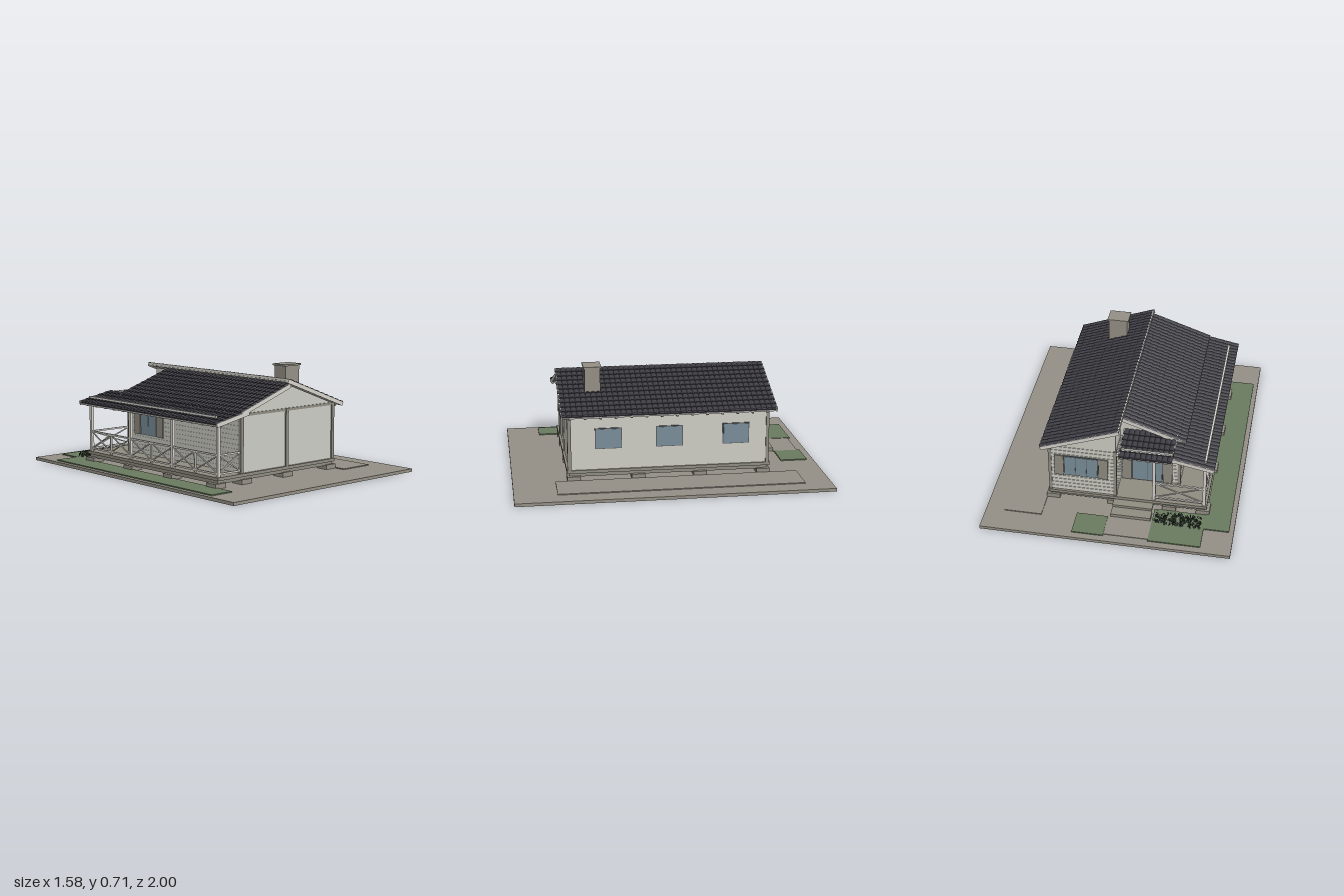
import * as THREE from 'three';

const mat = (name, color, extra = {}) => {
  const m = new THREE.MeshStandardMaterial({ color, ...extra });
  m.name = name;
  return m;
};

export function createModel() {
  const M = {
    stone: mat('stone', 0x969187),
    grass: mat('grass', 0x6b7c60),
    wall: mat('wall', 0xcfcfc7),
    timber: mat('timber', 0x918d82),
    white: mat('white trim', 0xd9d6cf),
    tile: mat('roof tile', 0x3f3e45, { side: THREE.DoubleSide }),
    glass: mat('glass', 0x7b8f9a),
    frame: mat('window frame', 0x5c5f60),
    leaf: mat('leaf', 0x2f3a2f, { side: THREE.DoubleSide }),
  };
  const root = new THREE.Group();
  root.name = 'house';

  // Box given by its minimum and maximum corners
  const box = (name, m, x0, x1, y0, y1, z0, z1, parent = root) => {
    const mesh = new THREE.Mesh(new THREE.BoxGeometry(x1 - x0, y1 - y0, z1 - z0), m);
    mesh.position.set((x0 + x1) / 2, (y0 + y1) / 2, (z0 + z1) / 2);
    mesh.name = name;
    parent.add(mesh);
    return mesh;
  };
  // Straight square bar between two points
  const bar = (name, m, a, b, t) => {
    const A = new THREE.Vector3(...a), B = new THREE.Vector3(...b);
    const mesh = new THREE.Mesh(new THREE.BoxGeometry(t, t, A.distanceTo(B)), m);
    mesh.position.copy(A).add(B).multiplyScalar(0.5);
    mesh.lookAt(B);
    mesh.name = name;
    root.add(mesh);
  };

  // Plot, paths and lawns
  box('plot', M.stone, -0.79, 0.79, 0, 0.02, -1, 1);
  box('sidePath', M.stone, 0.43, 0.67, 0.02, 0.026, -0.83, 0.73);
  box('entrancePath', M.stone, -0.27, 0.01, 0.02, 0.024, -0.94, -0.77);
  box('sideLawn', M.grass, -0.76, -0.6, 0.02, 0.027, -0.79, 0.78);
  box('backLawn', M.grass, -0.6, -0.27, 0.02, 0.027, -0.955, -0.66);
  box('smallLawn', M.grass, 0.01, 0.21, 0.02, 0.027, -0.955, -0.78);

  // Piers, sill beams and deck
  for (const x of [-0.575, -0.36, -0.007, 0.39])
    for (const z of [-0.61, -0.2, 0.2, 0.61])
      box('pier', M.stone, x - 0.043, x + 0.043, 0.02, 0.05, z - 0.043, z + 0.043);
  box('sill', M.timber, -0.59, 0.41, 0.045, 0.068, -0.64, 0.64);
  box('floorDeck', M.timber, -0.6, 0.42, 0.068, 0.088, -0.655, 0.655);
  box('upperStep', M.timber, -0.26, -0.005, 0.05, 0.066, -0.71, -0.65);
  box('lowerStep', M.timber, -0.26, -0.005, 0.02, 0.044, -0.775, -0.7);

  // Wall blocks, the left one shorter to leave the entrance recess
  const walls = (name, pts, z0, z1) => {
    const s = new THREE.Shape(pts.map(p => new THREE.Vector2(...p)));
    const g = new THREE.ExtrudeGeometry(s, { depth: z1 - z0, bevelEnabled: false });
    const mesh = new THREE.Mesh(g, M.wall);
    mesh.position.z = z0;
    mesh.name = name;
    root.add(mesh);
  };
  walls('rightWalls', [[-0.015, 0.085], [0.41, 0.085], [0.41, 0.45], [-0.015, 0.608]], -0.64, 0.64);
  walls('leftWalls', [[-0.4, 0.085], [-0.01, 0.085], [-0.01, 0.59], [-0.4, 0.46]], -0.46, 0.64);

  // Cladding boards on the back, recess and veranda walls
  for (let i = 0; i < 12; i++) {
    const y0 = 0.092 + i * 0.029, y1 = y0 + 0.026;
    box('cladding', M.wall, -0.01, 0.405, y0, y1, -0.643, -0.638);
    box('cladding', M.wall, -0.018, -0.013, y0, y1, -0.64, -0.46);
    box('cladding', M.wall, -0.4, -0.02, y0, y1, -0.463, -0.458);
    box('cladding', M.wall, -0.403, -0.398, y0, y1, -0.46, 0.63);
  }

  // Exposed timber frame
  for (const x of [-0.395, -0.01, 0.408])
    box('framePost', M.timber, x - 0.011, x + 0.011, 0.088, 0.455, 0.625, 0.649);
  box('frameBeam', M.timber, -0.4, 0.415, 0.438, 0.455, 0.63, 0.646);
  for (const [x, z] of [[0.406, -0.637], [-0.012, -0.637], [-0.396, -0.457]])
    box('cornerPost', M.timber, x - 0.01, x + 0.01, 0.088, 0.445, z - 0.01, z + 0.01);

  // Glazed opening facing local +z, with optional shutters
  const opening = (name, x, y, z, yaw, w, h, panes, shutter) => {
    const g = new THREE.Group();
    g.name = name;
    g.position.set(x, y, z);
    g.rotation.y = yaw;
    root.add(g);
    box('frame', M.frame, -w / 2, w / 2, -h / 2, h / 2, -0.006, 0.006, g);
    const pw = (w - 0.008) / panes;
    for (let i = 0; i < panes; i++) {
      const x0 = -w / 2 + 0.004 + i * pw;
      box('pane', M.glass, x0 + 0.002, x0 + pw - 0.002, -h / 2 + 0.005, h / 2 - 0.005, 0.005, 0.009, g);
    }
    if (shutter) for (const s of [-1, 1]) {
      const c = s * (w / 2 + shutter / 2 + 0.002);
      box('shutter', M.timber, c - shutter / 2, c + shutter / 2, -h / 2, h / 2, -0.006, 0.01, g);
    }
    return g;
  };
  for (const z of [0.388, 0, -0.43])
    opening('sideWindow', 0.411, 0.292, z, Math.PI / 2, 0.172, 0.135, 1, 0);
  opening('backWindow', 0.205, 0.295, -0.642, Math.PI, 0.22, 0.155, 3, 0.06);
  opening('entranceDoor', -0.19, 0.235, -0.462, Math.PI, 0.2, 0.29, 2, 0.06);
  opening('verandaWindow', -0.402, 0.295, -0.24, -Math.PI / 2, 0.17, 0.155, 2, 0.06);

  // Roof slope: starts at its upper edge and falls along local +x
  const slope = (name, x, y, z, yaw, run, drop, width) => {
    const L = Math.hypot(run, drop);
    const g = new THREE.Group();
    g.name = name;
    g.position.set(x, y, z);
    g.rotation.set(0, yaw, -Math.atan2(drop, run), 'YXZ');
    root.add(g);
    const rows = Math.max(3, Math.round(L / 0.05)), ribs = Math.round(width / 0.0345);
    const nu = rows * 2 - 1, nv = ribs * 4;
    const geo = new THREE.PlaneGeometry(1, 1, nu, nv).rotateX(-Math.PI / 2);
    const p = geo.attributes.position;
    for (let i = 0; i < p.count; i++) {
      const c = i % (nu + 1), r = Math.floor(i / (nu + 1));
      const u = Math.floor((c + 1) / 2) / rows;
      const wave = 0.007 * Math.abs(Math.sin((r / 4) * Math.PI));
      p.setXYZ(i, u * L, -0.008 + wave + (c % 2) * 0.005, (r / nv - 0.5) * width);
    }
    const flat = geo.toNonIndexed();
    flat.computeVertexNormals();
    const tiles = new THREE.Mesh(flat, M.tile);
    tiles.name = 'tiles';
    g.add(tiles);
    box('underlay', M.tile, 0.002, L - 0.002, -0.018, -0.009, -width / 2 + 0.004, width / 2 - 0.004, g);
    box('soffit', M.white, 0.004, L - 0.01, -0.024, -0.018, -width / 2 + 0.01, width / 2 - 0.01, g);
    for (const s of [-1, 1]) {
      const c = s * (width / 2 - 0.003);
      box('bargeboard', M.white, 0, L, -0.03, -0.004, c - 0.004, c + 0.004, g);
    }
    box('fascia', M.white, L - 0.01, L - 0.003, -0.028, -0.01, -width / 2, width / 2, g);
    return g;
  };
  slope('rightRoof', -0.04, 0.648, 0, 0, 0.5, 0.187, 1.38);
  slope('leftRoof', -0.03, 0.618, 0.09, Math.PI, 0.41, 0.142, 1.2);
  slope('verandaRoof', -0.38, 0.48, 0, Math.PI, 0.262, 0.052, 1.38);
  slope('porchRoof', -0.21, 0.5, -0.465, Math.PI / 2, 0.225, 0.05, 0.34);
  box('ridgeTrim', M.white, -0.044, -0.036, 0.622, 0.645, -0.69, 0.69);

  // Snow guards
  box('sideSnowGuard', M.white, -0.588, -0.574, 0.444, 0.458, -0.65, 0.62);
  box('porchSnowGuard', M.white, -0.375, -0.05, 0.466, 0.476, -0.648, -0.634);

  // Rafters under the eaves
  for (let i = 0; i < 14; i++) {
    const z = -0.63 + i * 0.097;
    bar('rafterTail', M.timber, [0.4, 0.45, z], [0.445, 0.433, z], 0.014);
    bar('verandaRafter', M.white, [-0.4, 0.445, z], [-0.62, 0.402, z], 0.014);
  }

  // Chimney
  box('chimney', M.stone, 0.1, 0.225, 0.5, 0.7, 0.418, 0.518);
  box('chimneyCap', M.stone, 0.09, 0.233, 0.7, 0.711, 0.41, 0.525);

  // Veranda posts and top beams
  const px = -0.58, postZ = [-0.635, -0.212, 0.212, 0.635];
  for (const z of postZ) box('verandaPost', M.white, px - 0.01, px + 0.01, 0.088, 0.415, z - 0.01, z + 0.01);
  box('entrancePost', M.white, -0.27, -0.25, 0.088, 0.44, -0.645, -0.625);
  box('verandaBeam', M.white, px - 0.01, px + 0.01, 0.395, 0.413, -0.66, 0.66);
  box('porchBeam', M.white, -0.58, -0.02, 0.412, 0.43, -0.645, -0.625);

  // Railings: two rails and crossed braces
  const railing = (a, b) => {
    const P = (q, y) => [q[0], y, q[1]];
    bar('topRail', M.white, P(a, 0.22), P(b, 0.22), 0.011);
    bar('bottomRail', M.white, P(a, 0.105), P(b, 0.105), 0.011);
    bar('brace', M.white, P(a, 0.105), P(b, 0.22), 0.007);
    bar('brace', M.white, P(a, 0.22), P(b, 0.105), 0.007);
  };
  for (let i = 0; i < 3; i++) {
    const mid = (postZ[i] + postZ[i + 1]) / 2;
    railing([px, postZ[i]], [px, mid]);
    railing([px, mid], [px, postZ[i + 1]]);
    box('balusterPost', M.white, px - 0.006, px + 0.006, 0.088, 0.22, mid - 0.006, mid + 0.006);
  }
  railing([px, 0.635], [-0.4, 0.635]);
  railing([px, -0.635], [-0.26, -0.635]);

  // Low shrubs beside the steps
  let seed = 7;
  const rnd = () => (seed = (seed * 16807) % 2147483647) / 2147483647;
  const leaf = new THREE.CircleGeometry(0.009, 5);
  const shrubs = new THREE.Group();
  shrubs.name = 'shrubs';
  for (let i = 0; i < 260; i++) {
    const m = new THREE.Mesh(leaf, M.leaf);
    m.name = 'leaf';
    const c = -0.54 + (i % 5) * 0.055;
    m.position.set(c + (rnd() - 0.5) * 0.07, 0.028 + rnd() * 0.034, -0.757 + (rnd() - 0.5) * 0.09);
    m.rotation.set(rnd() * 6, rnd() * 6, rnd() * 6);
    shrubs.add(m);
  }
  root.add(shrubs);
  return root;
}
